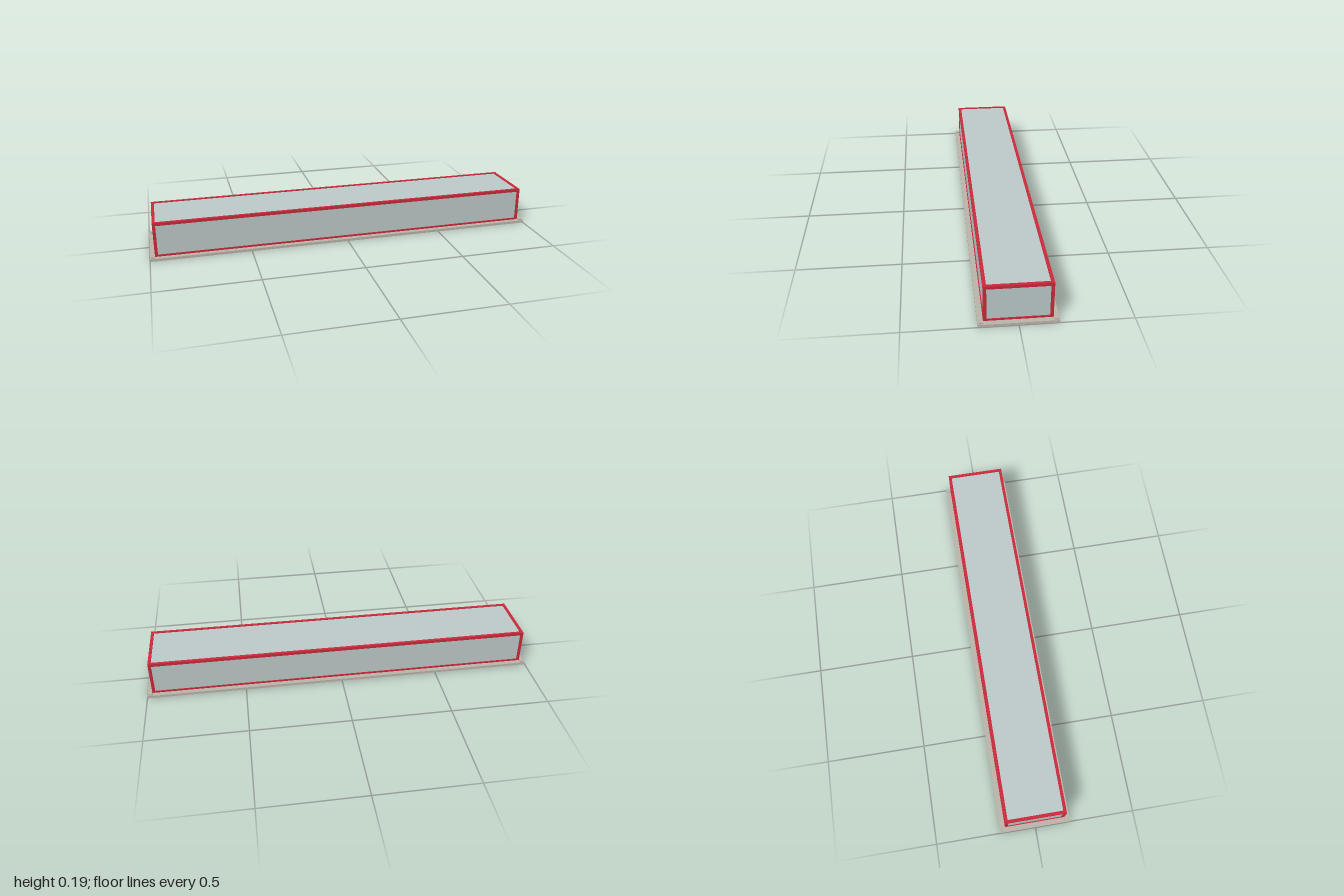
import * as THREE from 'three';

export function createModel() {
  const model = new THREE.Group();
  const mat = (name, color) => {
    const m = new THREE.MeshStandardMaterial({ color });
    m.name = name;
    return m;
  };
  const stone = mat('warm grey', 0xb8b2a8);
  const red = mat('frame red', 0xc9293a);
  const glass = mat('pale glass', 0xbac8c7);

  // Box placed by its lower and upper corners
  const box = (name, material, [x0, y0, z0], [x1, y1, z1]) => {
    const mesh = new THREE.Mesh(new THREE.BoxGeometry(x1 - x0, y1 - y0, z1 - z0), material);
    mesh.position.set((x0 + x1) / 2, (y0 + y1) / 2, (z0 + z1) / 2);
    mesh.name = name;
    model.add(mesh);
  };

  const X = 0.975, Z = 0.151, T = 0.015; // frame half sizes and bar thickness
  const baseTop = 0.013, top = 0.19, sill = 0.022;

  // Base slab
  box('base', stone, [-1, 0, -0.176], [1, baseTop, 0.176]);

  // Glazed body, set slightly back from the frame
  const inset = 0.004;
  box('glassBody', glass, [-X + inset, baseTop, -Z + inset], [X - inset, top - inset, Z - inset]);

  // Horizontal rails round the bottom and the top
  for (const [place, y0, y1] of [['bottom', baseTop, sill], ['top', top - T, top]]) {
    for (const s of [-1, 1]) {
      const z = s * (Z - T / 2), x = s * (X - T / 2);
      box(place + 'LongRail', red, [-X, y0, z - T / 2], [X, y1, z + T / 2]);
      box(place + 'EndRail', red, [x - T / 2, y0, -Z + T], [x + T / 2, y1, Z - T]);
    }
  }

  // Corner posts and the small blocks on the base outside them
  for (const sx of [-1, 1]) {
    for (const sz of [-1, 1]) {
      const x = sx * (X - T / 2), z = sz * (Z - T / 2);
      box('cornerPost', red, [x - T / 2, sill, z - T / 2], [x + T / 2, top - T, z + T / 2]);
      const bx = sx * (X + 0.01), bz = sz * (Z + 0.01);
      box('cornerBlock', stone, [bx - 0.01, baseTop, bz - 0.01], [bx + 0.01, 0.02, bz + 0.01]);
    }
  }
  return model;
}
